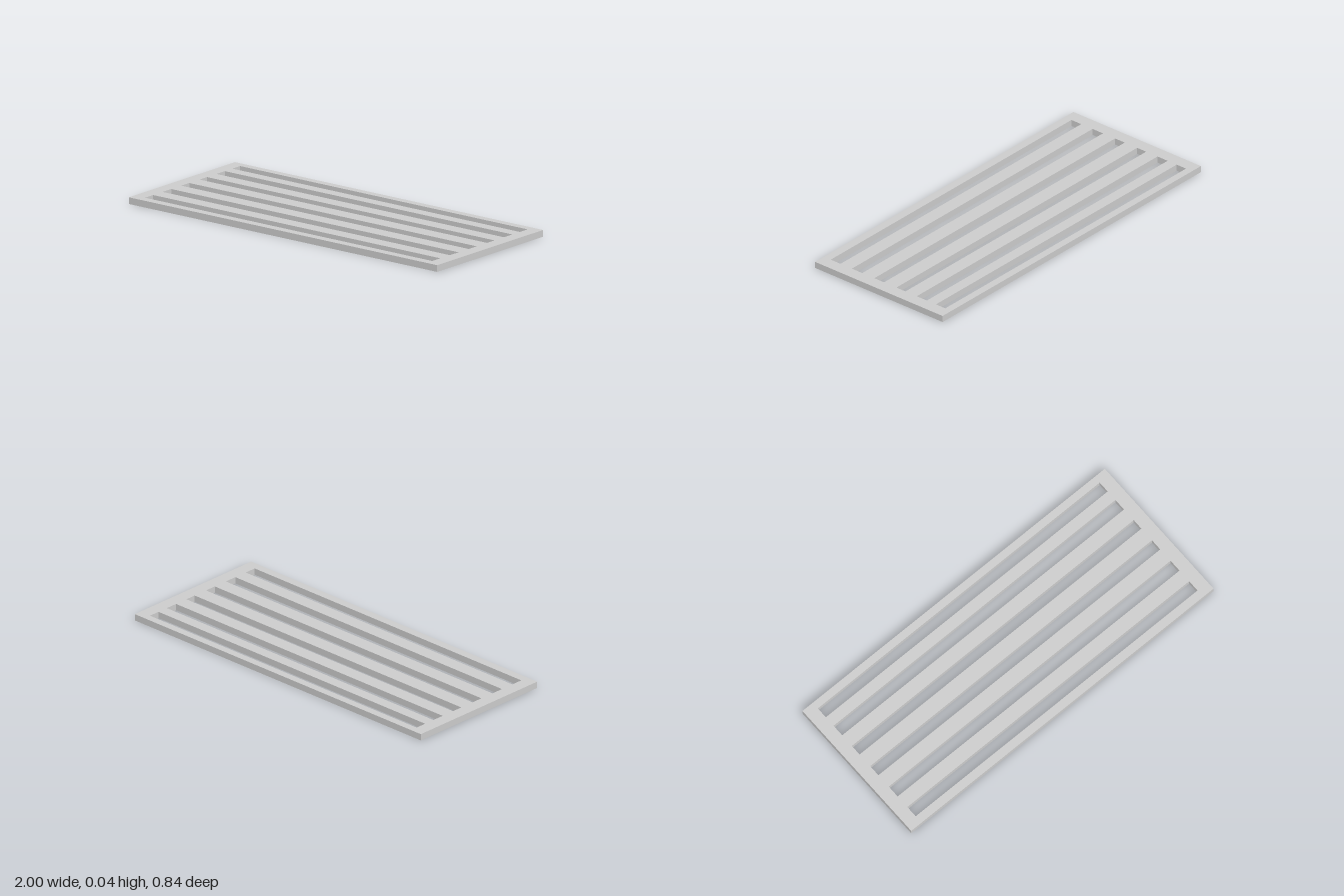
import * as THREE from 'three';

const WIDTH = 2, DEPTH = 0.844, HEIGHT = 0.035, SLOT_HALF = 0.932;
// Near and far z of each slot, from back to front
const SLOTS = [
  [-0.382, -0.32], [-0.26, -0.193], [-0.118, -0.058],
  [0.024, 0.088], [0.168, 0.237], [0.312, 0.377],
];

function rectangle(PathType, x, y0, y1) {
  return new PathType([
    new THREE.Vector2(-x, y0), new THREE.Vector2(x, y0),
    new THREE.Vector2(x, y1), new THREE.Vector2(-x, y1),
  ]);
}

export function createModel() {
  const group = new THREE.Group();
  group.name = 'slottedGrate';

  // Flat plate with long slots, drawn in x/-z and extruded upwards
  const plate = rectangle(THREE.Shape, WIDTH / 2, -DEPTH / 2, DEPTH / 2);
  for (const [z0, z1] of SLOTS) plate.holes.push(rectangle(THREE.Path, SLOT_HALF, -z1, -z0));

  const geometry = new THREE.ExtrudeGeometry(plate, { depth: HEIGHT, bevelEnabled: false });
  geometry.rotateX(-Math.PI / 2);

  const grate = new THREE.Mesh(geometry, new THREE.MeshStandardMaterial({ color: 0xcccccc }));
  grate.name = 'slottedPlate';
  group.add(grate);
  return group;
}
